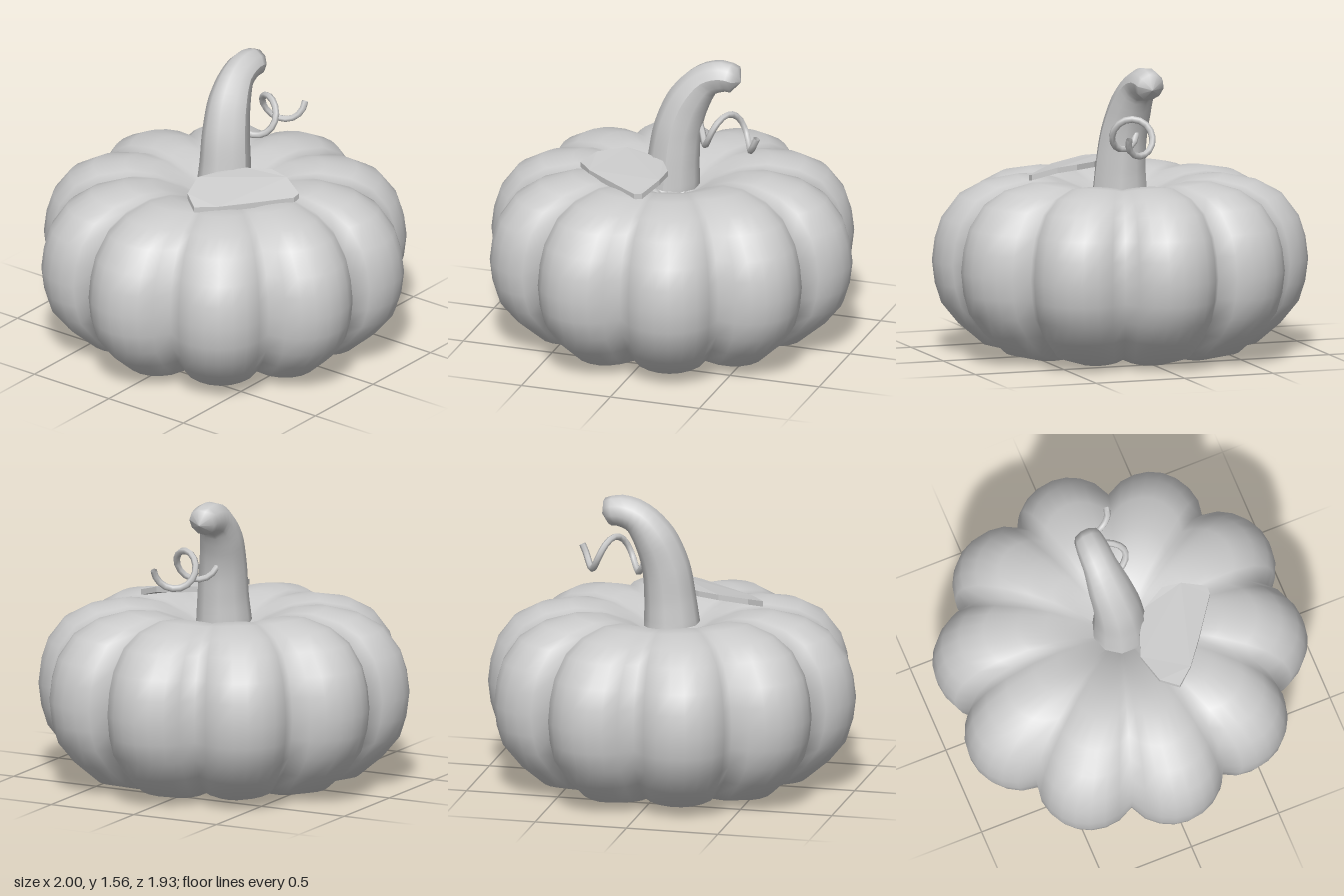
import * as THREE from 'three';

const material = new THREE.MeshStandardMaterial({ color: 0xcccccc, side: THREE.DoubleSide });

function addMesh(group, name, geometry) {
  const mesh = new THREE.Mesh(geometry, material);
  mesh.name = name;
  group.add(mesh);
}

// Ribbed body: a profile swept round the axis, pinched at ten grooves
function bodyGeometry() {
  const profile = [
    [0, 0.15], [0.07, 0.14], [0.13, 0.1], [0.25, 0.045], [0.4, 0.012], [0.54, 0.004],
    [0.73, 0.05], [0.86, 0.16], [0.95, 0.27], [0.985, 0.38], [1, 0.5], [0.985, 0.62],
    [0.95, 0.73], [0.86, 0.85], [0.73, 0.92], [0.55, 0.956], [0.4, 0.945],
    [0.25, 0.895], [0.13, 0.82], [0.07, 0.78], [0, 0.775],
  ];
  const lobes = 10, n = lobes * 8;
  const positions = [], index = [];
  profile.forEach(([r, y], j) => {
    for (let i = 0; i < n; i++) {
      const a = (i / n) * Math.PI * 2;
      const groove = 1 - Math.pow(Math.abs(Math.cos(a * lobes / 2)), 0.75);
      const radius = r * (1 - 0.15 * groove);
      positions.push(radius * Math.cos(a), 0.48 + (y - 0.48) * (1 - 0.05 * groove), -radius * Math.sin(a));
      if (j === 0) continue;
      const k = (i + 1) % n, lo = (j - 1) * n, hi = j * n;
      index.push(lo + i, lo + k, hi + k, lo + i, hi + k, hi + i);
    }
  });
  const geometry = new THREE.BufferGeometry();
  geometry.setAttribute('position', new THREE.Float32BufferAttribute(positions, 3));
  geometry.setIndex(index);
  geometry.computeVertexNormals();
  return geometry;
}

// Bent stem: a tube whose rings are scaled to a list of radii
function stemGeometry() {
  const stations = [
    // x, y, z, radius
    [0, 0.86, 0, 0.15], [0.01, 1.0, 0, 0.138], [0.03, 1.17, -0.01, 0.128],
    [0.085, 1.33, -0.03, 0.115], [0.175, 1.445, -0.045, 0.092],
    [0.27, 1.478, -0.05, 0.085], [0.335, 1.468, -0.05, 0.075], [0.37, 1.455, -0.05, 0],
  ];
  const curve = new THREE.CatmullRomCurve3(stations.map(([x, y, z]) => new THREE.Vector3(x, y, z)));
  const rings = 24, sides = 10;
  const geometry = new THREE.TubeGeometry(curve, rings, 1, sides);
  const pos = geometry.attributes.position, v = new THREE.Vector3();
  for (let i = 0; i <= rings; i++) {
    const centre = curve.getPointAt(i / rings);
    const t = curve.getUtoTmapping(i / rings) * (stations.length - 1);
    const s = Math.min(Math.floor(t), stations.length - 2);
    let f = t - s;
    if (s === stations.length - 2) f = 1 - Math.sqrt(Math.max(0, 1 - f * f)); // rounded tip
    const radius = THREE.MathUtils.lerp(stations[s][3], stations[s + 1][3], f);
    for (let j = 0; j <= sides; j++) {
      const k = i * (sides + 1) + j;
      v.fromBufferAttribute(pos, k).sub(centre).multiplyScalar(radius).add(centre);
      pos.setXYZ(k, v.x, v.y, v.z);
    }
  }
  geometry.computeVertexNormals();
  return geometry;
}

// Curly tendril: a helix along x
function tendrilGeometry() {
  const points = [];
  for (let i = 0; i <= 24; i++) {
    const x = 0.13 + 0.395 * (i / 24);
    const a = ((x - 0.2) / 0.255) * Math.PI * 2;
    points.push(new THREE.Vector3(x, 1.21 - 0.09 * Math.cos(a), 0.05 + 0.09 * Math.sin(a)));
  }
  return new THREE.TubeGeometry(new THREE.CatmullRomCurve3(points), 24, 0.018, 6);
}

// Leaf: a thin plate that droops toward its outer edge
function leafGeometry() {
  const outline = [
    [-0.46, 0.155], [-0.4, 0.064], [-0.25, 0.016], [-0.13, 0.06], [0, 0.145], [0.07, 0.27],
    [0.06, 0.375], [0.005, 0.5], [-0.04, 0.5], [-0.25, 0.35], [-0.38, 0.25],
  ];
  const shape = new THREE.Shape(outline.map(([x, z]) => new THREE.Vector2(x, -z)));
  const geometry = new THREE.ExtrudeGeometry(shape, { depth: 0.03, bevelEnabled: false });
  geometry.rotateX(-Math.PI / 2);
  const pos = geometry.attributes.position;
  for (let i = 0; i < pos.count; i++) {
    const d = (pos.getX(i) + 0.46) * 0.635 - (pos.getZ(i) - 0.155) * 0.773;
    pos.setY(i, pos.getY(i) + 0.94 + 0.06 * THREE.MathUtils.clamp(d / 0.2, 0, 1));
  }
  geometry.computeVertexNormals();
  return geometry;
}

export function createModel() {
  const group = new THREE.Group();
  group.name = 'pumpkin';
  addMesh(group, 'body', bodyGeometry());
  addMesh(group, 'stem', stemGeometry());
  addMesh(group, 'tendril', tendrilGeometry());
  addMesh(group, 'leaf', leafGeometry());
  return group;
}
